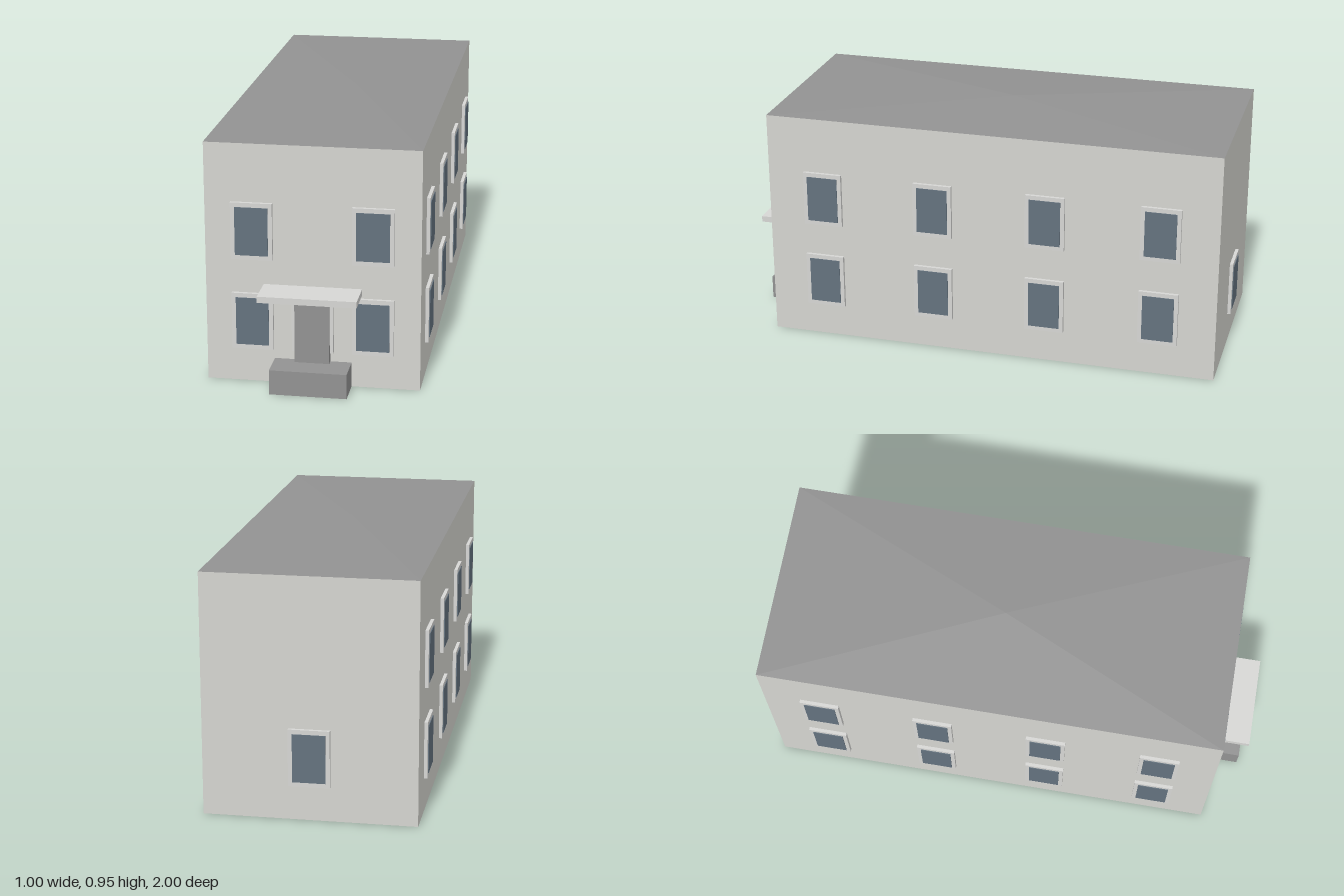
import * as THREE from 'three';

const W = 0.805, L = 1.811, H = 0.927;

export function createModel() {
  const model = new THREE.Group();
  model.name = 'building';

  const mat = (name, color) => {
    const m = new THREE.MeshStandardMaterial({ color });
    m.name = name;
    return m;
  };
  const wallMat = mat('pale wall', 0xd5d5d0);
  const trimMat = mat('light trim', 0xd6d6d4);
  const greyMat = mat('mid grey', 0x929292);
  const glassMat = mat('blue grey glass', 0x64727e);
  greyMat.flatShading = true;

  // The whole house is turned slightly about its vertical axis
  const house = new THREE.Group();
  house.name = 'house';
  house.rotation.y = 0.111;
  house.position.z = -0.055;
  model.add(house);

  const box = (parent, name, material, w, h, d, x, y, z) => {
    const mesh = new THREE.Mesh(new THREE.BoxGeometry(w, h, d), material);
    mesh.name = name;
    mesh.position.set(x, y, z);
    parent.add(mesh);
    return mesh;
  };

  // Walls and shallow pyramid roof
  box(house, 'walls', wallMat, W, H, L, 0, H / 2, 0);
  const roofGeo = new THREE.ConeGeometry(Math.SQRT1_2, 0.028, 4, 1, true);
  roofGeo.rotateY(Math.PI / 4);
  roofGeo.scale(W, 1, L);
  const roof = new THREE.Mesh(roofGeo, greyMat);
  roof.name = 'roof';
  roof.position.y = H + 0.014;
  house.add(roof);

  // Each facade is a group whose local z = 0 lies on the wall face
  const facade = (name, angle, distance) => {
    const g = new THREE.Group();
    g.name = name;
    g.rotation.y = angle;
    g.position.set(Math.sin(angle) * distance, 0, Math.cos(angle) * distance);
    house.add(g);
    return g;
  };
  const addWindow = (parent, x, y) => {
    const g = new THREE.Group();
    g.name = 'window';
    g.position.set(x, y, 0);
    box(g, 'windowFrame', trimMat, 0.156, 0.219, 0.018, 0, 0, 0.004);
    box(g, 'windowGlass', glassMat, 0.124, 0.185, 0.006, 0, 0, 0.013);
    parent.add(g);
  };
  const floors = [0.243, 0.595];

  // Front: two windows per floor, with one more behind the door
  const front = facade('frontFacade', 0, L / 2);
  for (const y of floors) for (const x of [-0.226, 0.226]) addWindow(front, x, y);
  addWindow(front, 0, floors[0]);

  // Sides: four windows per floor
  for (const side of [-1, 1]) {
    const wall = facade(side > 0 ? 'leftFacade' : 'rightFacade', side * Math.PI / 2, W / 2);
    for (const y of floors)
      for (let i = 0; i < 4; i++) addWindow(wall, (i - 1.5) * 0.453, y);
  }

  // Back: a single ground floor window
  addWindow(facade('backFacade', Math.PI, L / 2), 0, floors[0]);

  // Entrance
  box(front, 'door', greyMat, 0.13, 0.245, 0.028, 0, 0.2185, 0.014);
  box(front, 'doorStep', greyMat, 0.29, 0.096, 0.12, 0, 0.048, 0.06);
  box(front, 'canopy', trimMat, 0.368, 0.024, 0.135, 0, 0.377, 0.0675);

  return model;
}
